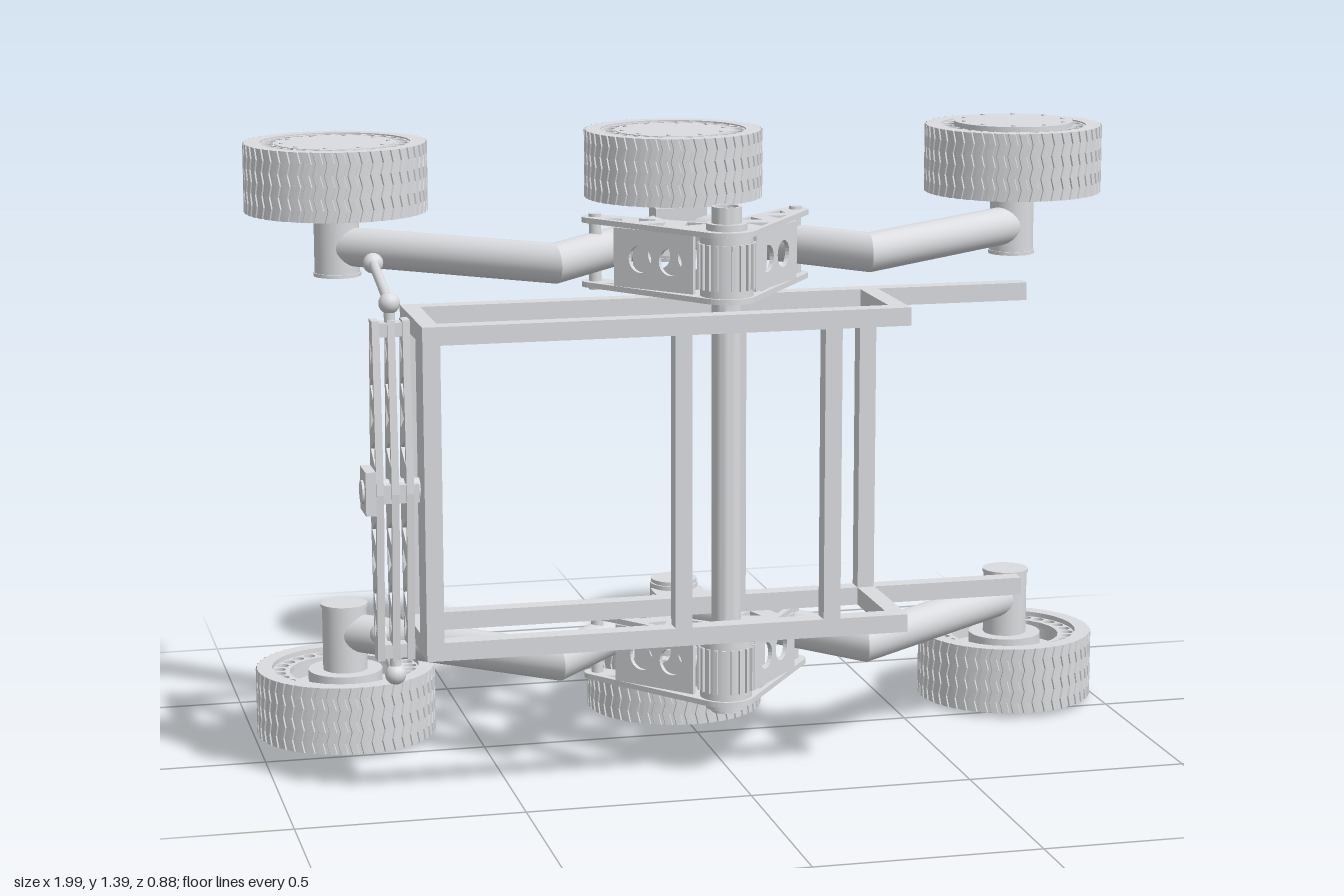
import * as THREE from 'three';
import { toCreasedNormals } from 'three/addons/utils/BufferGeometryUtils.js';

const MID = 0.6925; // the two sides mirror about this height
const PIVOT = [-0.01, 0.312];

export function createModel() {
  const model = new THREE.Group();
  const steel = new THREE.MeshStandardMaterial({ color: 0xdadcdf });
  steel.name = 'light steel grey';

  const add = (parent, name, geo, x = 0, y = 0, z = 0) => {
    const m = new THREE.Mesh(geo, steel);
    m.name = name;
    m.position.set(x, y, z);
    parent.add(m);
    return m;
  };
  const box = (p, name, x0, x1, y0, y1, z0, z1) =>
    add(p, name, new THREE.BoxGeometry(x1 - x0, y1 - y0, z1 - z0), (x0 + x1) / 2, (y0 + y1) / 2, (z0 + z1) / 2);
  const cyl = (p, name, r, h, x, y, z, seg = 32) => add(p, name, new THREE.CylinderGeometry(r, r, h, seg), x, y, z);
  const rod = (p, name, a, b, r) => {
    const A = new THREE.Vector3(...a), B = new THREE.Vector3(...b), d = B.clone().sub(A);
    const m = cyl(p, name, r, d.length(), 0, 0, 0, 16);
    m.position.copy(A).add(B).multiplyScalar(0.5);
    m.quaternion.setFromUnitVectors(new THREE.Vector3(0, 1, 0), d.normalize());
  };
  const hole = (x, y, r) => new THREE.Path().absarc(x, y, r, 0, Math.PI * 2, true);
  const tri = (...p) => new THREE.Path(p.map(([x, y]) => new THREE.Vector2(x, y)));
  // a plate drawn in x and z, centred on its own height
  const plate = (shape, depth, curveSegments = 12) =>
    new THREE.ExtrudeGeometry(shape, { depth, bevelEnabled: false, curveSegments })
      .translate(0, 0, -depth / 2).rotateX(Math.PI / 2);

  // ---------- wheel ----------
  // zigzag tread: each of 50 lugs has a flat top, a narrow step and a flat groove
  const treadGeo = new THREE.CylinderGeometry(0.2, 0.2, 0.155, 200, 12, true);
  const tp = treadGeo.attributes.position;
  for (let i = 0; i < tp.count; i++) {
    const col = i % 201, row = Math.floor(i / 201);
    const lug = Math.floor(col / 4) + [0, 0.6, 0.66, 0.94][col % 4];
    const a = (lug / 50) * Math.PI * 2 + (row % 4 < 2 ? row % 4 : 4 - (row % 4)) * 0.016;
    const r = col % 4 < 2 ? 0.2055 : 0.2025;
    tp.setXYZ(i, Math.sin(a) * r, tp.getY(i), Math.cos(a) * r);
  }
  const tread = toCreasedNormals(treadGeo, 0.4);
  const wallShape = new THREE.Shape().absarc(0, 0, 0.2025, 0, Math.PI * 2);
  wallShape.holes.push(hole(0, 0, 0.168));
  const wallGeo = toCreasedNormals(plate(wallShape, 0.154, 48), 0.5);
  const rimShape = new THREE.Shape().absarc(0, 0, 0.169, 0, Math.PI * 2);
  rimShape.holes.push(hole(0, 0, 0.128));
  for (let i = 0; i < 28; i++) {
    const a = (i / 28) * Math.PI * 2;
    rimShape.holes.push(hole(Math.cos(a) * 0.151, Math.sin(a) * 0.151, 0.0135));
  }
  const rimGeo = plate(rimShape, 0.012, 12);

  const wheel = (parent, name, x, y, z, s, cap) => {
    const g = new THREE.Group();
    g.name = name;
    g.position.set(x, y, z);
    if (s < 0) g.rotation.x = Math.PI;
    add(g, 'tread', tread);
    add(g, 'tyreWall', wallGeo);
    for (const h of [0.068, -0.06]) add(g, 'rimRing', rimGeo, 0, h, 0);
    cyl(g, 'wheelDisc', 0.135, 0.1, 0, 0.0255, 0, 48);
    cyl(g, 'innerHub', 0.085, 0.13, 0, -0.005, 0);
    if (cap) cyl(g, 'hubCap', 0.138, 0.02, 0, 0.0755, 0, 48);
    for (let i = 0; i < 10; i++) {
      const a = (i / 10) * Math.PI * 2;
      cyl(g, 'bolt', 0.005, 0.004, Math.cos(a) * 0.12, cap ? 0.086 : 0.076, Math.sin(a) * 0.12, 6);
    }
    parent.add(g);
  };

  // ---------- bent tube with a mitred elbow, lying flat ----------
  const bentTube = (pts, r) => {
    const geo = new THREE.PlaneGeometry(1, 1, 24, 2), pos = geo.attributes.position;
    const v = pts.map(([x, z]) => new THREE.Vector2(x, z));
    const d = [v[1].clone().sub(v[0]).normalize(), v[2].clone().sub(v[1]).normalize()];
    const dirs = [d[0], d[0].clone().add(d[1]).normalize(), d[1]];
    for (let i = 0; i < pos.count; i++) {
      const k = Math.floor(i / 25), a = ((i % 25) / 24) * Math.PI * 2, t = dirs[k];
      const w = Math.cos(a) * r / t.dot(k < 2 ? d[0] : d[1]);
      pos.setXYZ(i, v[k].x - t.y * w, Math.sin(a) * r, v[k].y + t.x * w);
    }
    return toCreasedNormals(geo, 0.5);
  };

  // ---------- V bracket links ----------
  const L = 0.35;
  const linkShape = new THREE.Shape();
  linkShape.absarc(0, 0, 0.065, 1.47, Math.PI * 2 - 1.47);
  linkShape.absarc(L, 0, 0.03, -1.47, 1.47);
  linkShape.closePath();
  linkShape.holes.push(hole(L, 0, 0.012));
  for (let i = 0; i < 4; i++) {
    const x = 0.08 + i * 0.06, w = 0.046 - i * 0.007, s = i % 2 ? -1 : 1;
    linkShape.holes.push(tri([x, s * w], [x + 0.05, s * (w - 0.006)], [x + 0.025, s * -0.008]));
  }
  const linkGeo = plate(linkShape, 0.012);
  const webShape = new THREE.Shape([[0.06, -0.065], [0.27, -0.065], [0.27, 0.065], [0.06, 0.065]]
    .map(([x, y]) => new THREE.Vector2(x, y)));
  webShape.holes.push(hole(0.12, 0, 0.03), hole(0.2, 0, 0.03));
  const webGeo = new THREE.ExtrudeGeometry(webShape, { depth: 0.01, bevelEnabled: false });

  // ---------- suspension on both sides ----------
  for (const s of [1, -1]) {
    const side = new THREE.Group();
    side.name = s > 0 ? 'upperSuspension' : 'lowerSuspension';
    const Y = d => MID + s * d;
    const spots = [['endWheelA', -0.79, -0.18], ['middleWheel', 0, -0.235], ['endWheelB', 0.79, -0.14]];
    spots.forEach(([name, x, z], i) => {
      wheel(side, name, x, Y(0.605), z, s, i === 2);
      cyl(side, 'wheelHub', 0.051, 0.16, x, Y(0.46), z);
      cyl(side, 'hubCollar', 0.054, 0.008, x, Y(0.384), z);
    });
    cyl(side, 'middleMount', 0.056, 0.13, 0, Y(0.455), -0.235);
    const mountY = [Y(0.40), Y(0.51)].sort((a, b) => a - b);
    box(side, 'mountBlock', -0.06, 0.06, ...mountY, -0.22, -0.15);
    for (const [name, pts] of [
      ['rearArm', [[-0.79, -0.18], [-0.365, 0.187], [0, -0.235]]],
      ['frontArm', [[0, -0.235], [0.345, 0.197], [0.79, -0.14]]],
    ]) add(side, name, bentTube(pts, 0.044), 0, Y(0.4475), 0);

    for (const [tx, tz] of [[-0.25, 0.05], [0.215, 0.045]]) {
      const link = new THREE.Group();
      link.name = 'bracketLink';
      link.position.set(PIVOT[0], Y(0.45), PIVOT[1]);
      link.rotation.y = Math.atan2(-(tz - PIVOT[1]), tx - PIVOT[0]);
      for (const h of [-0.072, 0.072]) add(link, 'linkPlate', linkGeo, 0, h, 0);
      for (const z of [-0.042, 0.032]) add(link, 'linkWeb', webGeo, 0, 0, z);
      cyl(link, 'linkPin', 0.014, 0.17, L, 0, 0, 16);
      side.add(link);
    }
    // ribbed pivot housing
    cyl(side, 'pivotHousing', 0.058, 0.14, PIVOT[0], Y(0.45), PIVOT[1]);
    for (let i = 0; i < 20; i++) {
      const a = (i / 20) * Math.PI * 2;
      add(side, 'housingRib', new THREE.BoxGeometry(0.008, 0.1, 0.008),
        PIVOT[0] + Math.cos(a) * 0.06, Y(0.45), PIVOT[1] + Math.sin(a) * 0.06).rotation.y = -a;
    }
    cyl(side, 'pivotCollar', 0.045, 0.015, PIVOT[0], Y(0.535), PIVOT[1]);

    // steering rod with ball joints
    const end = [-0.757, Y(0.405), 0.365], tip = [-0.728, Y(0.425), -0.05];
    rod(side, 'linkRod', end, tip, 0.011);
    for (const p of [end, tip]) add(side, 'ballJoint', new THREE.SphereGeometry(0.023, 16, 12), ...p);
    rod(side, 'jointStud', [-0.757, Y(0.34), 0.365], end, 0.012);
    model.add(side);
  }

  // ---------- through shaft (open at its ends) ----------
  const shaftShape = new THREE.Shape().absarc(0, 0, 0.033, 0, Math.PI * 2);
  shaftShape.holes.push(hole(0, 0, 0.026));
  add(model, 'pivotShaft', toCreasedNormals(plate(shaftShape, 1.13, 20), 0.5), PIVOT[0], 0.706, PIVOT[1]);

  // ---------- square bar frame ----------
  const frame = new THREE.Group();
  frame.name = 'frame';
  for (const y of [0.33, 1.015]) {
    const h = [y, y + 0.04];
    box(frame, 'longRail', -0.7, 0.72, ...h, 0.142, 0.182);
    box(frame, 'shortRail', -0.7, 0.37, ...h, 0.398, 0.44);
    box(frame, 'crossRail', -0.7, -0.662, ...h, 0.182, 0.398);
    box(frame, 'crossRail', 0.33, 0.37, ...h, 0.182, 0.398);
  }
  for (const [x, z0, z1] of [[-0.7, 0.35, 0.44], [-0.7, 0.142, 0.182], [-0.155, 0.398, 0.44],
    [0.03, 0.142, 0.182], [0.178, 0.398, 0.44], [0.33, 0.142, 0.182]])
    box(frame, 'post', x, x + 0.038, 0.37, 1.015, z0, z1);
  model.add(frame);

  // ---------- balance beam ----------
  const beam = new THREE.Group();
  beam.name = 'balanceBeam';
  const bs = new THREE.Shape([[-0.37, -0.02], [0, -0.045], [0.37, -0.02], [0.37, 0.02], [0, 0.045], [-0.37, 0.02]]
    .map(([x, y]) => new THREE.Vector2(x, y)));
  for (const m of [-1, 1]) for (let i = 0; i < 4; i++) {
    const x = 0.06 + i * 0.07, w = 0.03 - i * 0.005, f = i % 2 ? -1 : 1;
    bs.holes.push(tri([m * x, f * w], [m * (x + 0.055), f * w * 0.85], [m * (x + 0.028), -f * w * 0.85]));
  }
  const beamGeo = new THREE.ExtrudeGeometry(bs, { depth: 0.016, bevelEnabled: false })
    .translate(0, 0, -0.008).rotateX(Math.PI / 2).rotateZ(Math.PI / 2);
  for (const x of [-0.79, -0.757, -0.725]) add(beam, 'beamPlate', beamGeo, x, MID, 0.365);
  for (const y of [MID - 0.35, MID + 0.35]) box(beam, 'endSpacer', -0.79, -0.725, y - 0.015, y + 0.015, 0.348, 0.382);
  box(beam, 'beamFlange', -0.82, -0.798, MID - 0.045, MID + 0.05, 0.325, 0.405);
  box(beam, 'beamBlock', -0.798, -0.705, MID - 0.02, MID + 0.02, 0.325, 0.405);
  rod(beam, 'beamAxle', [-0.825, MID, 0.365], [-0.66, MID, 0.365], 0.026);
  model.add(beam);

  return model;
}
